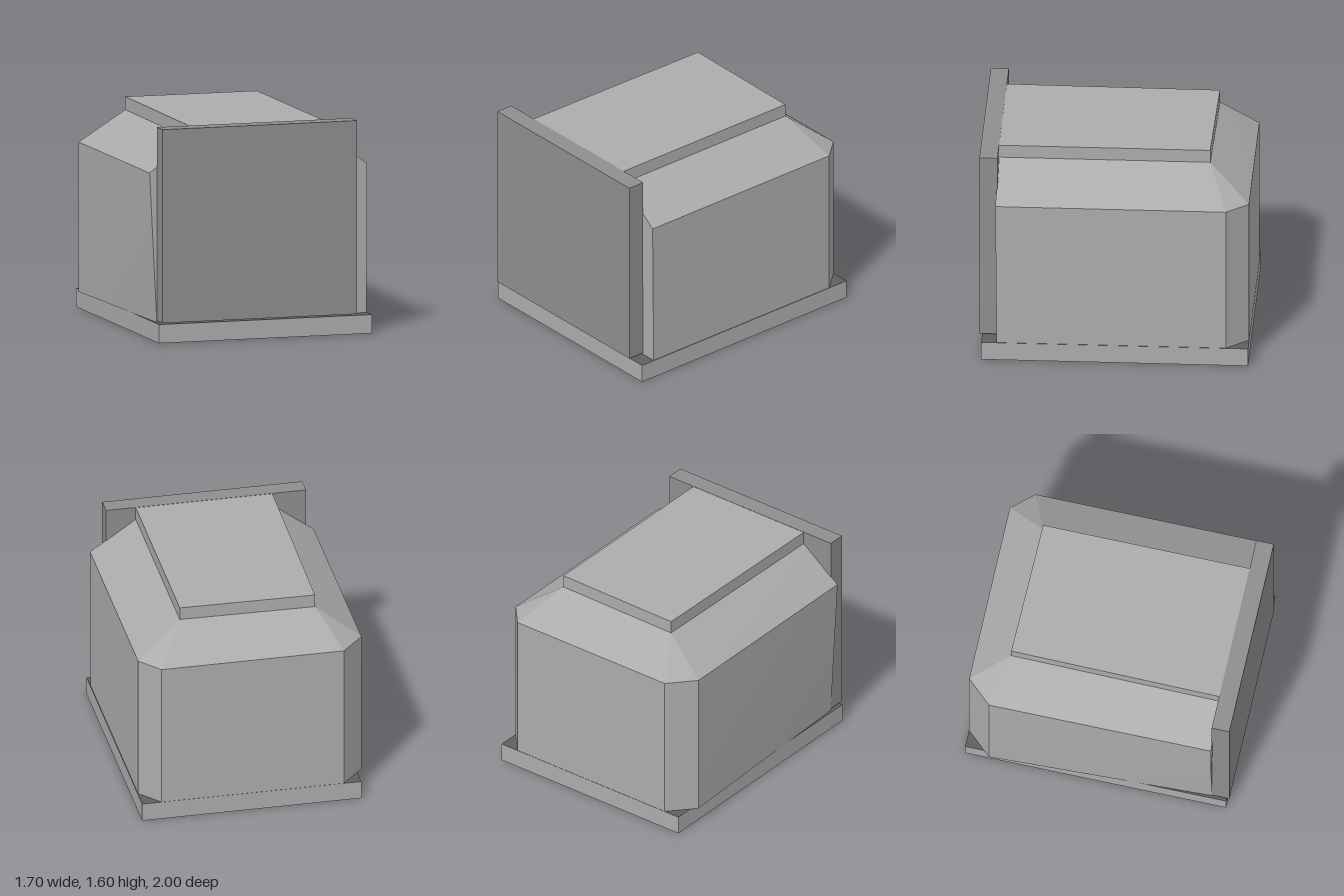
import * as THREE from 'three';
import { toCreasedNormals } from 'three/addons/utils/BufferGeometryUtils.js';

const grey = (color) => new THREE.MeshStandardMaterial({ color });
const wallMaterial = grey(0xacacac);
const panelMaterial = grey(0x8e8e8e);
const floorMaterial = grey(0x606060);

// Box given by its minimum and maximum corners
function slab(name, [x0, y0, z0], [x1, y1, z1], material) {
  const mesh = new THREE.Mesh(new THREE.BoxGeometry(x1 - x0, y1 - y0, z1 - z0), material);
  mesh.position.set((x0 + x1) / 2, (y0 + y1) / 2, (z0 + z1) / 2);
  mesh.name = name;
  return mesh;
}

// Closed solid through stacked outlines; each ring is { y, pts: [[x, z], ...] }
function loft(rings) {
  const out = [];
  const corners = rings.map(({ y, pts }) => pts.map(([x, z]) => new THREE.Vector3(x, y, z)));
  const tri = (a, b, c) => {
    if (a.equals(b) || b.equals(c) || c.equals(a)) return; // merged corners
    for (const v of [a, b, c]) out.push(v.x, v.y, v.z);
  };
  const n = corners[0].length;
  for (let r = 0; r < corners.length - 1; r++) {
    const lower = corners[r], upper = corners[r + 1];
    for (let i = 0; i < n; i++) {
      const j = (i + 1) % n;
      tri(lower[i], lower[j], upper[j]);
      tri(lower[i], upper[j], upper[i]);
    }
  }
  const bottom = corners[0], top = corners[corners.length - 1];
  for (let i = 1; i < n - 1; i++) {
    tri(bottom[0], bottom[i + 1], bottom[i]);
    tri(top[0], top[i], top[i + 1]);
  }
  const geometry = new THREE.BufferGeometry();
  geometry.setAttribute('position', new THREE.Float32BufferAttribute(out, 3));
  return toCreasedNormals(geometry, 0.25);
}

export function createModel() {
  const group = new THREE.Group();
  group.name = 'block';

  // Base plate with a dark upper face (box sides run +x, -x, +y, -y, +z, -z)
  const baseMaterials = [0, 1, 2, 3, 4, 5].map((side) => (side === 2 ? floorMaterial : wallMaterial));
  group.add(slab('basePlate', [-0.81, 0, -1], [0.848, 0.14, 0.98], baseMaterials));

  // Upright front panel
  group.add(slab('frontPanel', [-0.79, 0.153, 0.866], [0.725, 1.6, 1], panelMaterial));

  // Body: chamfered rear corners, sloping shoulders, raised rectangular cap
  const rear = [[0.844, -0.835], [0.7, -0.998], [-0.68, -0.998], [-0.852, -0.81]];
  const cap = [[-0.535, 0.866], [0.5, 0.866], [0.5, -0.7], [0.5, -0.7], [-0.52, -0.715], [-0.52, -0.715]];
  const body = new THREE.Mesh(loft([
    { y: 0.14, pts: [[-0.79, 0.865], [0.844, 0.865], ...rear] },
    { y: 1.26, pts: [[-0.848, 0.872], [0.844, 0.875], ...rear] },
    { y: 1.5, pts: cap },
    { y: 1.598, pts: cap },
  ]), wallMaterial);
  body.name = 'body';
  group.add(body);

  return group;
}
